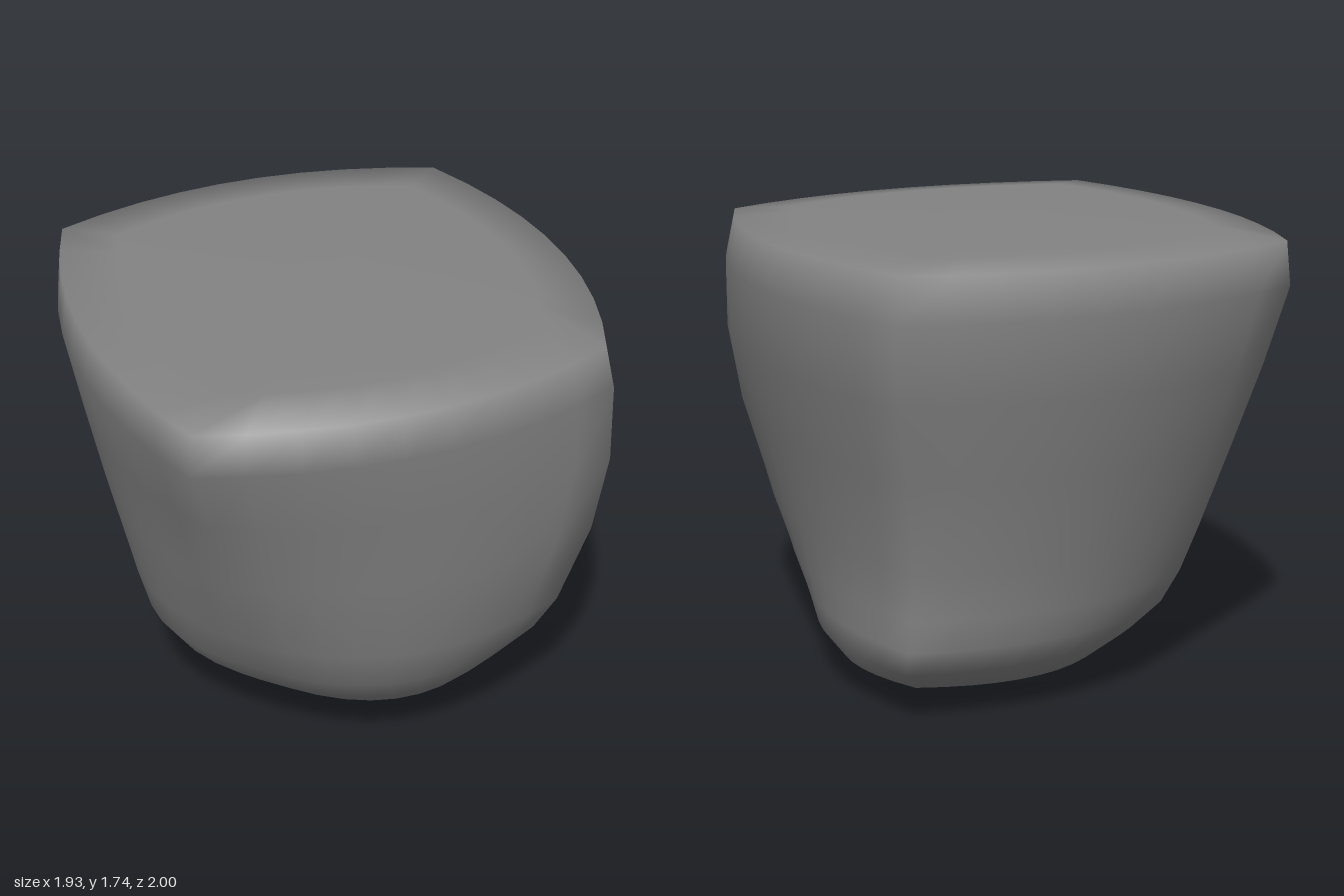
import * as THREE from 'three';

// Cross-sections from bottom to top: height, x range, z range, and how far each
// corner (+x+z, -x+z, -x-z, +x-z) reaches towards the corner of that rectangle
const SECTIONS = [
  [0.01, -0.08, 0.45, -0.2, 0.2, 0.68, 0.7, 0.7, 0.76],
  [0.03, -0.27, 0.53, -0.32, 0.28, 0.68, 0.68, 0.69, 0.78],
  [0.1, -0.39, 0.66, -0.56, 0.44, 0.68, 0.66, 0.69, 0.82],
  [0.2, -0.53, 0.735, -0.67, 0.59, 0.71, 0.65, 0.7, 0.88],
  [0.3, -0.64, 0.745, -0.72, 0.69, 0.75, 0.65, 0.72, 0.89],
  [0.42, -0.72, 0.755, -0.74, 0.77, 0.8, 0.65, 0.73, 0.87],
  [0.6, -0.77, 0.78, -0.78, 0.84, 0.84, 0.68, 0.75, 0.85],
  [0.95, -0.85, 0.85, -0.865, 0.905, 0.87, 0.75, 0.78, 0.83],
  [1.25, -0.91, 0.925, -0.95, 0.95, 0.85, 0.79, 0.8, 0.83],
  [1.55, -0.97, 0.965, -1.0, 1.0, 0.81, 0.85, 0.82, 0.83],
  [1.715, -0.95, 0.925, -0.965, 0.985, 0.81, 0.86, 0.83, 0.83],
  [1.737, -0.74, 0.72, -0.76, 0.77, 0.81, 0.86, 0.83, 0.83],
];
const STEPS = 9; // segments along each of the four bowed sides
const RING = STEPS * 4;

// Outline of one section: four corners joined by outward-bowed sides
function sectionRing([y, x0, x1, z0, z1, ...reach]) {
  const cx = (x0 + x1) / 2, cz = (z0 + z1) / 2;
  const corners = [[x1, z1], [x0, z1], [x0, z0], [x1, z0]].map(([x, z], i) =>
    [cx + (x - cx) * reach[i], cz + (z - cz) * reach[i]]);
  const middles = [[cx, z1], [x0, cz], [cx, z0], [x1, cz]];
  const points = [];
  for (let side = 0; side < 4; side++) {
    const a = corners[side], m = middles[side], b = corners[(side + 1) % 4];
    for (let j = 0; j < STEPS; j++) {
      const t = j / STEPS;
      const bow = (i) => a[i] * (2 * t - 1) * (t - 1) + m[i] * 4 * t * (1 - t) + b[i] * t * (2 * t - 1);
      points.push(bow(0), y, bow(1));
    }
  }
  return points;
}

// Skin the sections and close both ends with a fan
function loft(sections, bottom, top) {
  const positions = [...sections.flatMap(sectionRing), ...bottom, ...top];
  const index = [];
  const last = (sections.length - 1) * RING;
  const bottomId = last + RING, topId = bottomId + 1;
  for (let j = 0; j < RING; j++) {
    const k = (j + 1) % RING;
    for (let i = 0; i < last; i += RING) {
      index.push(i + j, i + RING + j, i + k, i + k, i + RING + j, i + RING + k);
    }
    index.push(bottomId, j, k, topId, last + k, last + j);
  }
  const geometry = new THREE.BufferGeometry();
  geometry.setAttribute('position', new THREE.Float32BufferAttribute(positions, 3));
  geometry.setIndex(index);
  geometry.computeVertexNormals();
  return geometry;
}

export function createModel() {
  const group = new THREE.Group();
  group.name = 'taperedRock';

  // Flat-topped rounded block that narrows to an uneven base
  const body = new THREE.Mesh(
    loft(SECTIONS, [0.18, 0, 0], [0, 1.74, 0]),
    new THREE.MeshStandardMaterial({ color: 0x838383 })
  );
  body.name = 'rockBody';
  group.add(body);
  return group;
}
